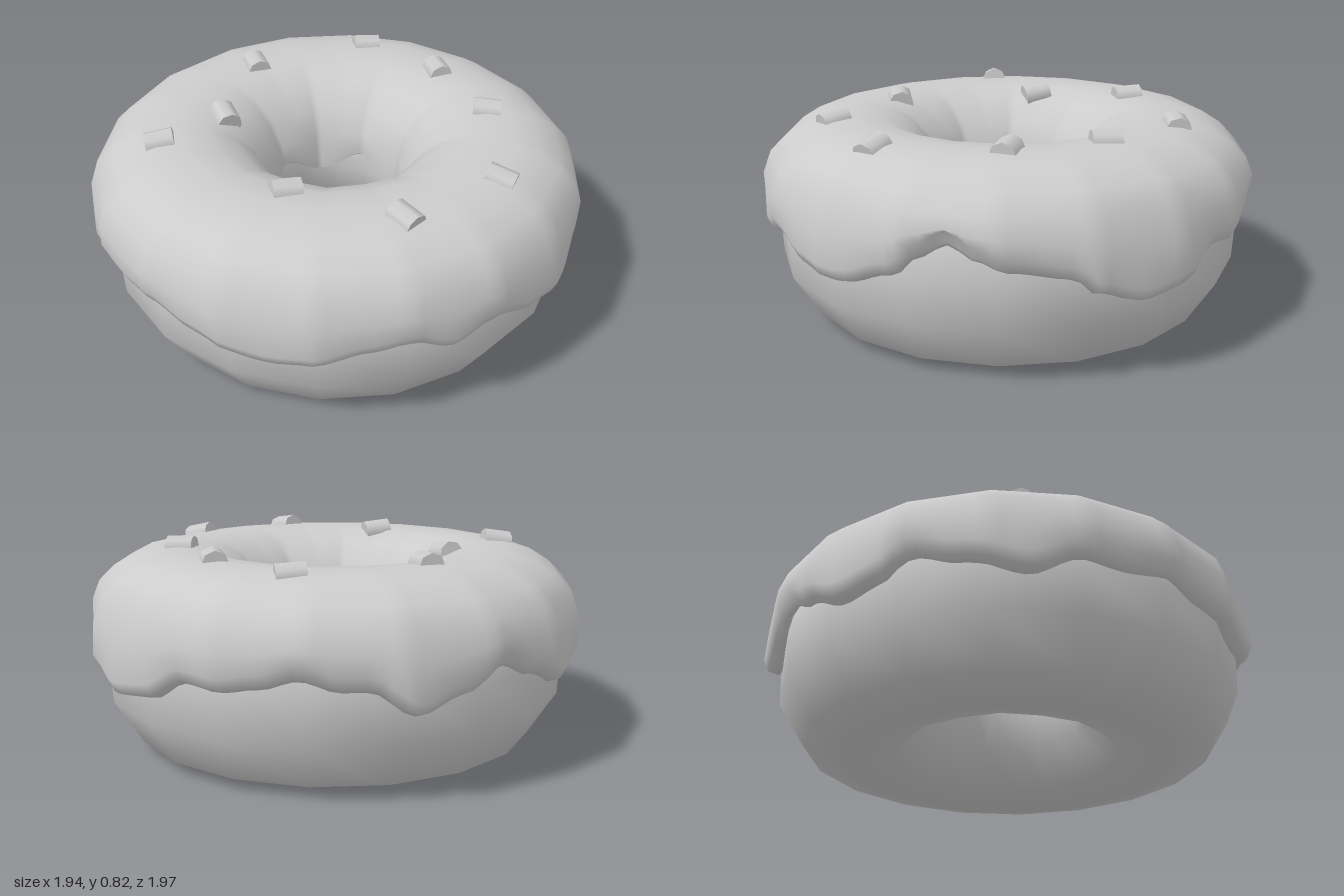
import * as THREE from 'three';

const RAD = Math.PI / 180;
const grey = new THREE.MeshStandardMaterial({ color: 0xcccccc });
const greyDouble = new THREE.MeshStandardMaterial({ color: 0xcccccc, side: THREE.DoubleSide });

// Radius factor of a regular n-gon with a corner on +z
function polygonFactor(deg, n) {
  const step = 360 / n;
  const local = (((deg % step) + step) % step) - step / 2;
  return Math.cos((step / 2) * RAD) / Math.cos(local * RAD);
}

// Sweeps a profile [r, y] that may change with the angle round the y axis
function sweep(profileAt, segments, closed) {
  const positions = [], index = [];
  let count = 0;
  for (let i = 0; i < segments; i++) {
    const deg = (i * 360) / segments;
    const profile = profileAt(deg);
    count = profile.length;
    for (const [r, y] of profile) {
      // the hole is nine-sided, the outside eighteen-sided
      const hole = THREE.MathUtils.clamp((0.5 - r) / 0.2, 0, 1);
      const k = THREE.MathUtils.lerp(polygonFactor(deg, 18), polygonFactor(deg, 9), hole);
      positions.push(r * k * Math.sin(deg * RAD), y, r * k * Math.cos(deg * RAD));
    }
  }
  for (let i = 0; i < segments; i++) {
    const n = ((i + 1) % segments) * count;
    for (let j = 0; j < (closed ? count : count - 1); j++) {
      const j2 = (j + 1) % count;
      const a = i * count + j, b = n + j, c = n + j2, d = i * count + j2;
      index.push(a, b, d, c, d, b);
    }
  }
  const g = new THREE.BufferGeometry();
  g.setAttribute('position', new THREE.Float32BufferAttribute(positions, 3));
  g.setIndex(index);
  g.computeVertexNormals();
  return g;
}

// Height of the icing's lower edge by angle, from +z towards +x
const EDGE = [
  [0, 0.355], [12, 0.395], [20, 0.42], [30, 0.36], [40, 0.41], [53, 0.35], [65, 0.335],
  [78, 0.4], [84, 0.48], [90, 0.53], [96, 0.48], [103, 0.44], [116, 0.41], [121, 0.35],
  [131, 0.3], [143, 0.33], [153, 0.41], [162, 0.4], [170, 0.42], [179, 0.46], [187, 0.42],
  [193, 0.42], [203, 0.33], [213, 0.38], [224, 0.46], [234, 0.4], [246, 0.33], [256, 0.36],
  [264, 0.43], [274, 0.39], [288, 0.34], [299, 0.41], [309, 0.4], [321, 0.42], [332, 0.38],
  [351, 0.34], [360, 0.355],
];

function edgeHeight(deg) {
  const i = EDGE.findIndex(([d]) => d > deg);
  const [d0, y0] = EDGE[i - 1], [d1, y1] = EDGE[i];
  return THREE.MathUtils.lerp(y0, y1, THREE.MathUtils.smoothstep(deg, d0, d1));
}

function icingProfile(deg) {
  const e = edgeHeight(deg);
  const bulge = (0.4 - e) * 0.2; // low drips stand out further
  const inner = 0.42 + 0.04 * Math.sin(deg * RAD * 5);
  return [
    [0.9, e + 0.04], [0.935, e], [0.965 + bulge, e + 0.015], [0.985 + bulge, e + 0.06],
    [0.985 + bulge / 2, THREE.MathUtils.lerp(e, 0.64, 0.6)],
    [0.95, 0.64], [0.89, 0.7], [0.81, 0.75], [0.72, 0.772], [0.62, 0.78], [0.51, 0.77],
    [0.41, 0.725], [0.33, 0.64], [0.285, 0.54], [0.267, inner], [0.29, inner - 0.015],
  ];
}

// Top of the icing at radius r, and its slope
function icingTop(r) {
  const d = r - 0.6;
  return { y: 0.78 - 0.9 * d * d, slope: -1.8 * d };
}

export function createModel() {
  const model = new THREE.Group();
  model.name = 'doughnut';

  // Dough ring
  const doughProfile = [
    [0.44, 0.045], [0.6, 0], [0.64, 0.003], [0.81, 0.045], [0.92, 0.22], [0.928, 0.4],
    [0.9, 0.55], [0.79, 0.68], [0.6, 0.74], [0.42, 0.68], [0.31, 0.54], [0.28, 0.37], [0.325, 0.19],
  ];
  const dough = new THREE.Mesh(sweep(() => doughProfile, 18, true), grey);
  dough.name = 'dough';
  dough.position.x = 0.015;
  model.add(dough);

  // Icing with a dripping edge
  const icing = new THREE.Mesh(sweep(icingProfile, 144, false), greyDouble);
  icing.name = 'icing';
  icing.position.x = 0.01;
  model.add(icing);

  // Sprinkles: x, z, heading of the long axis in degrees
  const sprinkles = new THREE.Group();
  sprinkles.name = 'sprinkles';
  const sprinkleGeometry = new THREE.CylinderGeometry(0.052, 0.052, 0.11, 8);
  sprinkleGeometry.rotateZ(Math.PI / 2);
  const up = new THREE.Vector3(0, 1, 0);
  [
    [0.09, -0.68, -15], [0.41, -0.45, 70], [0.61, -0.13, 5], [0.64, 0.35, 20], [0.3, 0.63, 42],
    [-0.13, 0.5, -22], [-0.44, -0.03, 60], [-0.65, 0.21, -15], [-0.37, -0.44, 65],
  ].forEach(([x, z, heading]) => {
    const r = Math.hypot(x, z);
    const { y, slope } = icingTop(r);
    const normal = new THREE.Vector3((-slope * x) / r, 1, (-slope * z) / r).normalize();
    const sprinkle = new THREE.Mesh(sprinkleGeometry, grey);
    sprinkle.name = 'sprinkle';
    sprinkle.position.set(x, y - 0.012, z);
    sprinkle.quaternion.setFromUnitVectors(up, normal)
      .multiply(new THREE.Quaternion().setFromAxisAngle(up, -heading * RAD));
    sprinkles.add(sprinkle);
  });
  model.add(sprinkles);

  return model;
}
